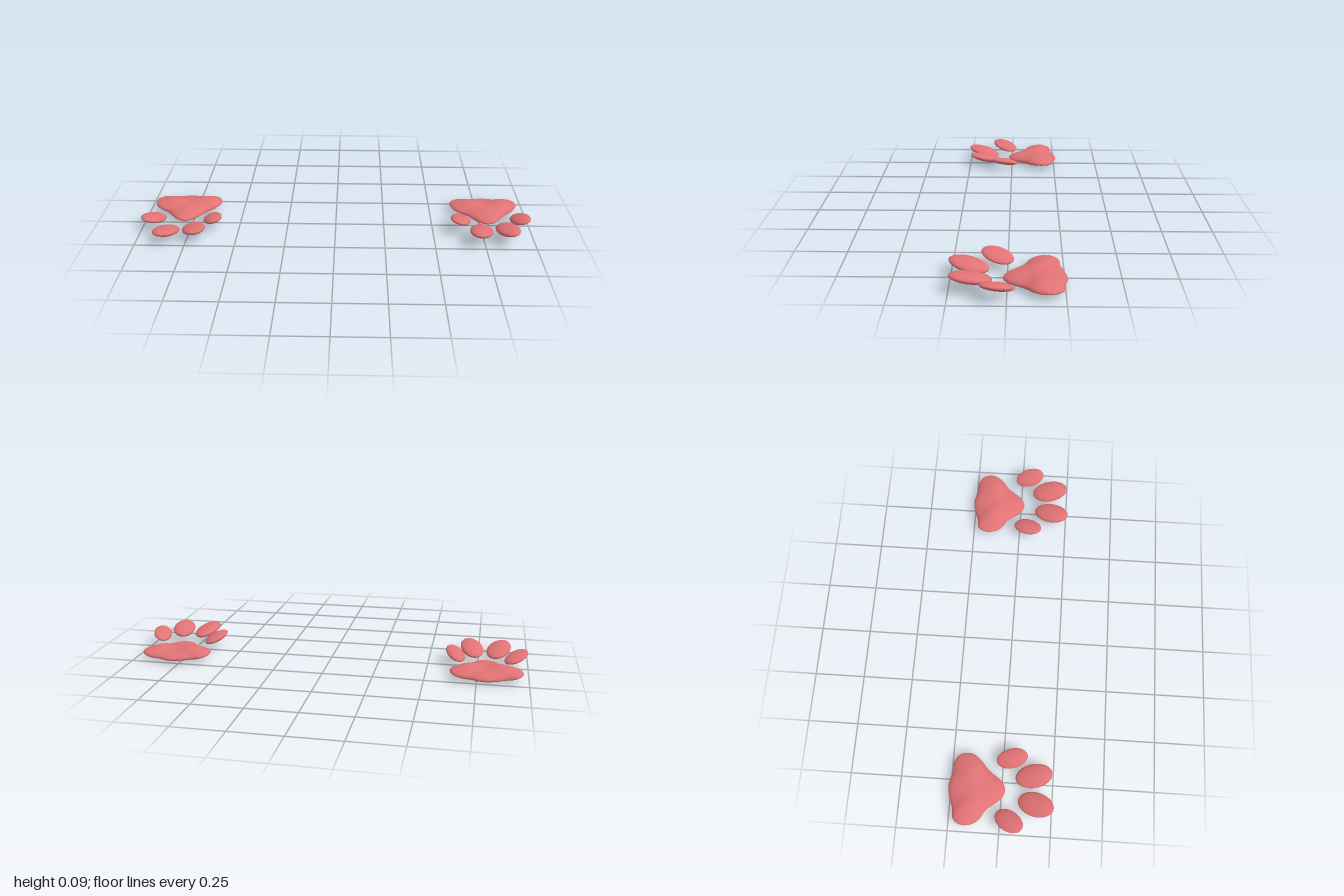
import * as THREE from 'three';
import { mergeVertices } from 'three/addons/utils/BufferGeometryUtils.js';

const material = new THREE.MeshStandardMaterial({ color: 0xe07274 });

// Trefoil outline of the main pad (x, z), from its right side around the front tip
const outline = new THREE.CatmullRomCurve3([
  [-0.182, -0.184], [-0.174, -0.13], [-0.144, -0.094], [-0.102, -0.07], [-0.07, -0.03],
  [-0.037, 0.006], [0.003, 0.018], [0.045, -0.004], [0.075, -0.045], [0.102, -0.078],
  [0.144, -0.114], [0.17, -0.163], [0.16, -0.215], [0.123, -0.243], [0.07, -0.245],
  [0.037, -0.256], [0, -0.262], [-0.064, -0.248], [-0.102, -0.234], [-0.155, -0.226],
].map(([x, z]) => new THREE.Vector3(x, 0, z)), true);

// Sphere reshaped to the outline: domed top with two lobes, shallow dished underside
function createPadGeometry() {
  const segments = 80, rings = 32, centreZ = -0.13;
  const source = new THREE.SphereGeometry(1, segments, rings);
  source.deleteAttribute('uv');
  source.deleteAttribute('normal');
  const rim = outline.getPoints(segments);
  const pos = source.attributes.position;
  for (let i = 0; i < pos.count; i++) {
    const column = i % (segments + 1);
    const h = pos.getY(i);
    const r = Math.sqrt(Math.max(0, 1 - h * h));
    const x = rim[column].x * r;
    const z = centreZ + (rim[column].z - centreZ) * r;
    const lobe = Math.exp(-(((Math.abs(x) - 0.085) / 0.05) ** 2) - ((z + 0.155) / 0.06) ** 2);
    const lift = 0.022 + 0.015 * (x / 0.17) ** 2;
    const y = lift + (h > 0 ? h * (0.036 + 0.012 * lobe) : h * 0.02);
    pos.setXYZ(i, x, y, z);
  }
  const geometry = mergeVertices(source, 1e-5);
  geometry.computeVertexNormals();
  return geometry;
}

// Each toe: centre, half width / thickness / length, yaw, pitch and roll
const paws = [
  {
    name: 'rightPaw', x: -0.79, toes: [
      { at: [-0.94, 0.052, 0.045], size: [0.051, 0.019, 0.078], turn: [-0.13, -0.6, -0.25] },
      { at: [-0.853, 0.044, 0.171], size: [0.059, 0.022, 0.092], turn: [-0.22, -0.3, -0.08] },
      { at: [-0.716, 0.049, 0.155], size: [0.058, 0.022, 0.093], turn: [-0.2, 0.22, 0.12] },
      { at: [-0.636, 0.052, 0.043], size: [0.048, 0.019, 0.079], turn: [-0.13, 0.31, 0.28] },
    ],
  },
  {
    name: 'leftPaw', x: 0.79, toes: [
      { at: [0.642, 0.06, 0.045], size: [0.051, 0.019, 0.077], turn: [-0.13, -0.4, -0.28] },
      { at: [0.733, 0.06, 0.169], size: [0.057, 0.023, 0.093], turn: [-0.16, -0.28, -0.1] },
      { at: [0.866, 0.063, 0.155], size: [0.057, 0.023, 0.094], turn: [-0.15, 0.18, 0.12] },
      { at: [0.946, 0.064, 0.04], size: [0.048, 0.019, 0.077], turn: [-0.12, 0.3, 0.32] },
    ],
  },
];

export function createModel() {
  const model = new THREE.Group();
  model.name = 'pawPads';
  const padGeometry = createPadGeometry();
  const toeGeometry = new THREE.SphereGeometry(1, 40, 24);

  for (const { name, x, toes } of paws) {
    const paw = new THREE.Group();
    paw.name = name;

    const pad = new THREE.Mesh(padGeometry, material);
    pad.name = 'mainPad';
    pad.position.x = x;
    paw.add(pad);

    // Flattened oval toes fanned out in front of the pad
    toes.forEach(({ at, size, turn }, i) => {
      const toe = new THREE.Mesh(toeGeometry, material);
      toe.name = `toePad${i + 1}`;
      toe.position.set(...at);
      toe.scale.set(...size);
      toe.rotation.set(...turn, 'ZXY');
      paw.add(toe);
    });
    model.add(paw);
  }
  return model;
}
